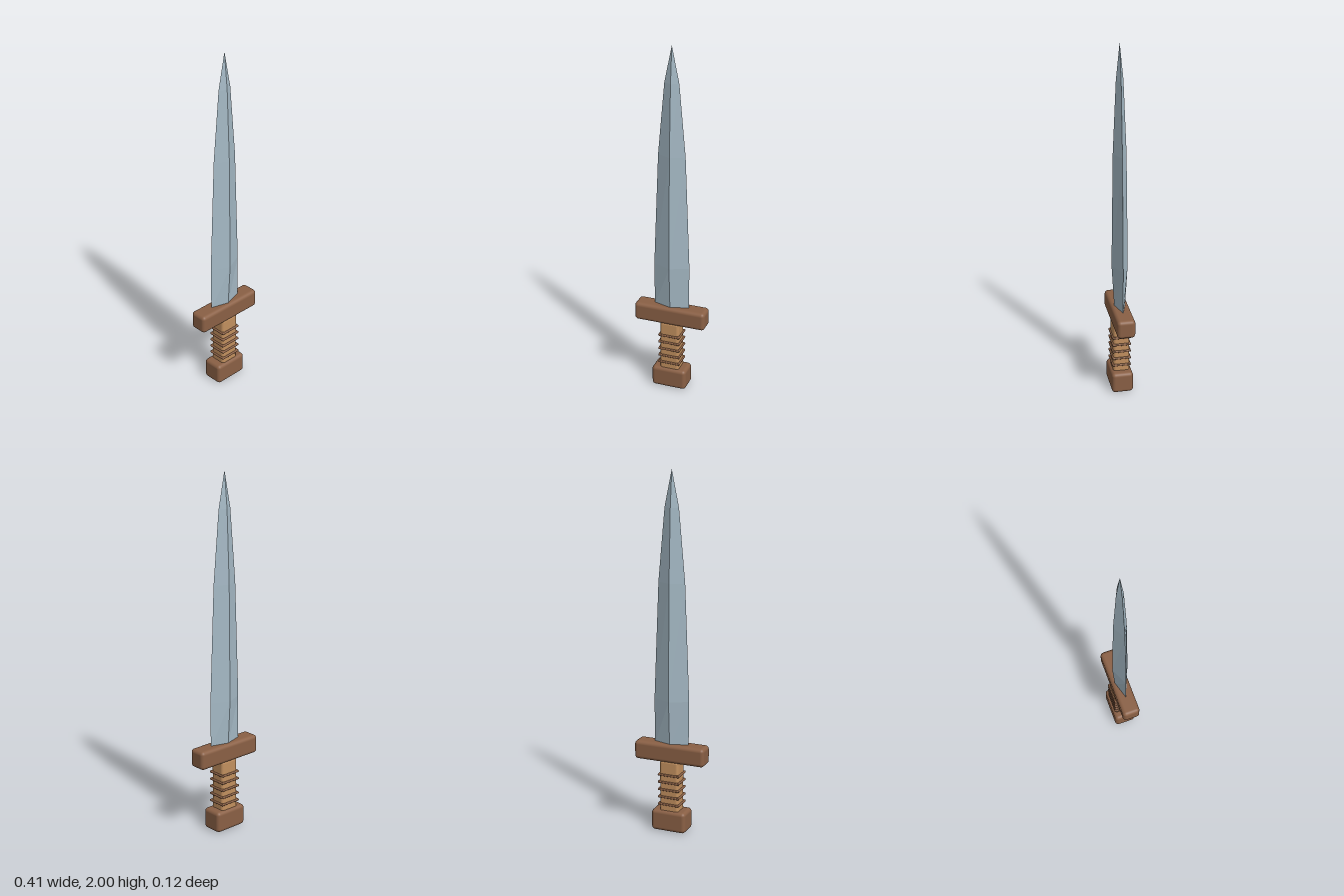
import * as THREE from 'three';
import { RoundedBoxGeometry } from 'three/addons/geometries/RoundedBoxGeometry.js';

const material = (name, color, flatShading = false) => {
  const m = new THREE.MeshStandardMaterial({ color, flatShading });
  m.name = name;
  return m;
};

// Loft of diamond cross-sections: [height, half width, half depth]
function bladeGeometry(sections) {
  const positions = [];
  const corners = ([y, w, d]) => [[-w, y, 0], [0, y, d], [w, y, 0], [0, y, -d]];
  for (let i = 0; i < sections.length - 1; i++) {
    const low = corners(sections[i]);
    const high = corners(sections[i + 1]);
    const isTip = sections[i + 1][1] === 0;
    for (let k = 0; k < 4; k++) {
      const n = (k + 1) % 4;
      positions.push(...low[k], ...low[n], ...high[n]);
      if (!isTip) positions.push(...low[k], ...high[n], ...high[k]);
    }
  }
  const geometry = new THREE.BufferGeometry();
  geometry.setAttribute('position', new THREE.Float32BufferAttribute(positions, 3));
  geometry.computeVertexNormals();
  return geometry;
}

export function createModel() {
  const group = new THREE.Group();
  group.name = 'shortSword';
  const steel = material('steel', 0xa6bac6, true);
  const wood = material('darkWood', 0x8a6045);
  const leather = material('tanLeather', 0xc2905f);

  const block = (name, width, bottom, top, depth, radius, mat) => {
    const geometry = new RoundedBoxGeometry(width, top - bottom, depth, 4, radius);
    const mesh = new THREE.Mesh(geometry, mat);
    mesh.name = name;
    mesh.position.y = (bottom + top) / 2;
    group.add(mesh);
  };

  // Hilt
  block('pommel', 0.2, 0, 0.12, 0.12, 0.02, wood);
  block('grip', 0.11, 0.1, 0.41, 0.09, 0.015, leather);
  block('guard', 0.41, 0.4, 0.505, 0.1, 0.02, wood);

  // Binding rings around the grip
  for (let i = 0; i < 5; i++) {
    const y = 0.156 + i * 0.043;
    block('gripRing', 0.126, y - 0.006, y + 0.006, 0.106, 0.005, wood);
  }

  // Double-edged blade with a central ridge
  const blade = new THREE.Mesh(bladeGeometry([
    [0.49, 0.1, 0.03],
    [0.75, 0.102, 0.045],
    [1.4, 0.077, 0.037],
    [1.8, 0.041, 0.02],
    [2, 0, 0],
  ]), steel);
  blade.name = 'blade';
  group.add(blade);

  return group;
}
